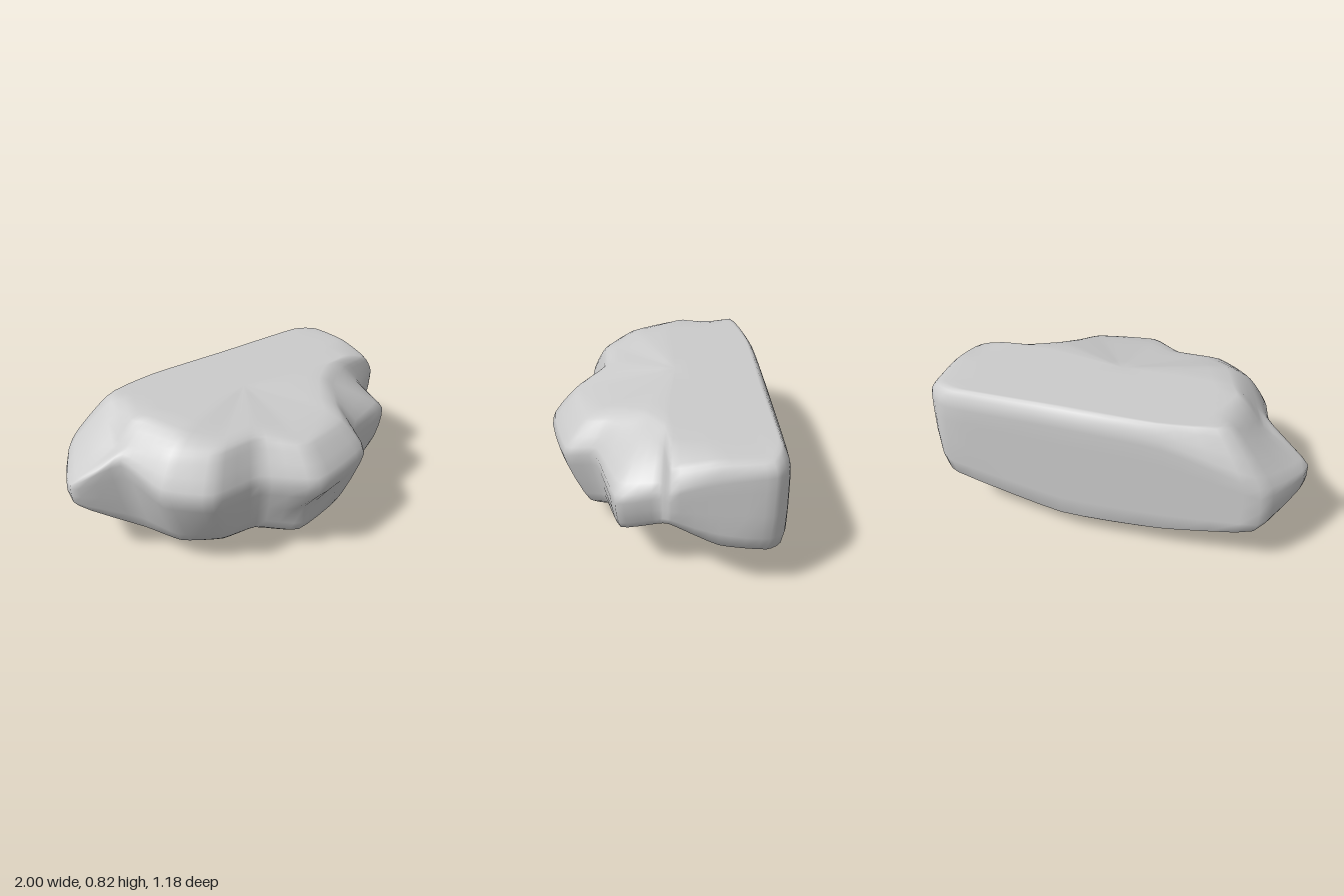
import * as THREE from 'three';
import { mergeVertices } from 'three/addons/utils/BufferGeometryUtils.js';

// Columns around the boulder, counter-clockwise from above:
// outer x, z | top rim inset, y | shoulder y | lower edge y, inset | underside y
const COLUMNS = [
  [1, -0.02, 0.93, 0.77, 0.66, 0.46, 0.95, 0.16],
  [1, -0.25, 0.95, 0.81, 0.72, 0.36, 0.99, 0.16],
  [0.99, -0.5, 0.95, 0.81, 0.74, 0.3, 0.97, 0.16],
  [0.87, -0.585, 0.92, 0.82, 0.72, 0.28, 0.99, 0.14],
  [0.25, -0.59, 0.9, 0.82, 0.72, 0.15, 1, 0.05],
  [-0.3, -0.59, 0.9, 0.82, 0.7, 0.18, 1, 0.06],
  [-0.8, -0.58, 0.78, 0.81, 0.56, 0.28, 0.99, 0.09],
  [-1, -0.24, 0.76, 0.66, 0.5, 0.36, 0.97, 0.09],
  [-0.77, -0.1, 0.92, 0.7, 0.6, 0.15, 0.85, 0.06],
  [-0.71, 0.18, 0.87, 0.72, 0.52, 0.15, 0.8, 0.06],
  [-0.52, 0.37, 0.83, 0.72, 0.5, 0.16, 0.76, 0.06],
  [-0.22, 0.38, 0.83, 0.72, 0.5, 0.15, 0.79, 0.07],
  [0.02, 0.59, 0.81, 0.69, 0.5, 0.13, 0.76, 0.08],
  [0.42, 0.51, 0.82, 0.69, 0.52, 0.17, 0.8, 0.08],
  [0.5, 0.34, 0.85, 0.72, 0.56, 0.22, 0.88, 0.08],
  [0.84, 0.24, 0.65, 0.75, 0.56, 0.32, 0.93, 0.14],
  [0.88, 0.03, 0.83, 0.77, 0.6, 0.38, 0.95, 0.15],
];
const CENTRE = { x: 0.05, z: -0.1 };
const SUB = 4;

// The top is level at the back and slopes down to the front
const topHeight = (z) => 0.82 - 0.295 * Math.max(0, z - 0.03);

// Softly rounded curve sampled evenly per control point
function sample(points, closed) {
  const curve = new THREE.CatmullRomCurve3(points, closed, 'catmullrom', 0.25);
  const spans = closed ? points.length : points.length - 1;
  const count = spans * SUB + (closed ? 0 : 1);
  return Array.from({ length: count }, (_, i) => curve.getPoint(i / (spans * SUB)));
}

// Vertical profile of one column, from the top centre to the lowest point
function profile([x, z, topInset, topY, shoulderY, lowY, lowInset, underY]) {
  const at = (s, y) => new THREE.Vector3(
    CENTRE.x + (x - CENTRE.x) * s, y, CENTRE.z + (z - CENTRE.z) * s);
  const inner = at(topInset * 0.8, 0);
  inner.y = topHeight(inner.z);
  return sample([
    at(0, 0.82), inner, at(topInset, topY), at(1, shoulderY),
    at(lowInset, lowY), at(0.5, underY), new THREE.Vector3(0.16, 0, 0.11),
  ], false);
}

// Keep the smooth top and flat back, and press the chipped hollow into the front
function shape(p) {
  p.x = THREE.MathUtils.clamp(p.x, -1, 1);
  p.z = THREE.MathUtils.clamp(p.z, -0.59, 0.59);
  p.y = THREE.MathUtils.clamp(p.y, 0, topHeight(p.z));
  if (p.z > 0.2) {
    const d = Math.hypot((p.x - 0.05) / 0.14, (p.y - 0.31) / 0.1);
    p.z -= 0.06 * Math.max(0, 1 - d);
  }
  return p;
}

function boulderGeometry() {
  const profiles = COLUMNS.map(profile);
  const rows = profiles[0].length;
  const cols = COLUMNS.length * SUB;
  const positions = [];
  const indices = [];
  for (let j = 0; j < rows; j++) {
    for (const p of sample(profiles.map((c) => c[j]), true)) {
      positions.push(...shape(p).toArray());
    }
  }
  for (let j = 0; j < rows - 1; j++) {
    for (let i = 0; i < cols; i++) {
      const n = (i + 1) % cols;
      const a = j * cols + i, b = a + cols;
      const c = j * cols + n, d = c + cols;
      if (j < rows - 2) indices.push(c, b, d);
      if (j > 0) indices.push(a, b, c);
    }
  }
  const geometry = new THREE.BufferGeometry();
  geometry.setAttribute('position', new THREE.Float32BufferAttribute(positions, 3));
  geometry.setIndex(indices);
  const merged = mergeVertices(geometry, 1e-4);
  merged.computeVertexNormals();
  return merged;
}

export function createModel() {
  const group = new THREE.Group();
  group.name = 'rock';
  const boulder = new THREE.Mesh(
    boulderGeometry(), new THREE.MeshStandardMaterial({ color: 0xcccccc }));
  boulder.name = 'boulder';
  group.add(boulder);
  return group;
}
